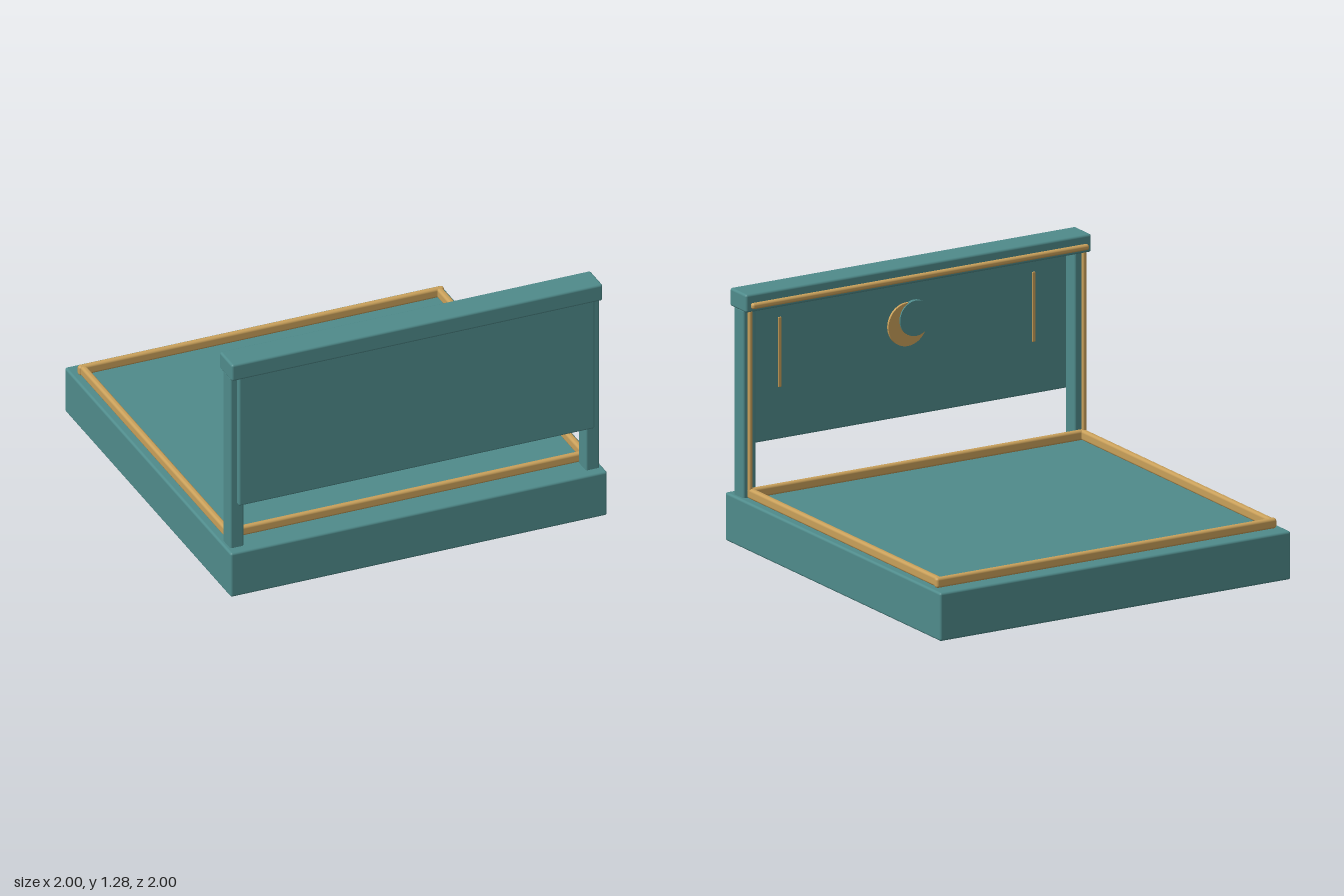
import * as THREE from 'three';
import { RoundedBoxGeometry } from 'three/addons/geometries/RoundedBoxGeometry.js';

export function createModel() {
  const model = new THREE.Group();
  model.name = 'bed';

  const teal = new THREE.MeshStandardMaterial({ color: 0x4f8b8b });
  teal.name = 'teal paint';
  const gold = new THREE.MeshStandardMaterial({ color: 0xc9a05a });
  gold.name = 'gold trim';

  // Rounded box given by its extents along each axis
  function block(name, material, [x0, x1], [y0, y1], [z0, z1], radius) {
    const geometry = new RoundedBoxGeometry(x1 - x0, y1 - y0, z1 - z0, 3, radius);
    const mesh = new THREE.Mesh(geometry, material);
    mesh.position.set((x0 + x1) / 2, (y0 + y1) / 2, (z0 + z1) / 2);
    mesh.name = name;
    model.add(mesh);
  }

  // Round plate facing the mattress side of the headboard
  function disc(name, material, radius, x, y, z0, z1) {
    const geometry = new THREE.CylinderGeometry(radius, radius, z1 - z0, 40);
    geometry.rotateX(Math.PI / 2);
    const mesh = new THREE.Mesh(geometry, material);
    mesh.position.set(x, y, (z0 + z1) / 2);
    mesh.name = name;
    model.add(mesh);
  }

  // Platform
  block('platform', teal, [-1, 1], [0, 0.245], [-1, 1], 0.012);

  // Headboard
  block('headboardPanel', teal, [-0.945, 0.945], [0.485, 1.21], [0.943, 0.975], 0.01);
  block('headboardCap', teal, [-0.985, 0.985], [1.193, 1.285], [0.828, 0.98], 0.012);
  block('capTrim', gold, [-0.96, 0.96], [1.212, 1.242], [0.804, 0.832], 0.012);

  // Rails around the platform top
  block('footRail', gold, [-0.97, 0.97], [0.243, 0.295], [-0.92, -0.888], 0.013);
  block('headRail', gold, [-0.96, 0.96], [0.243, 0.295], [0.832, 0.862], 0.013);

  // Mirrored parts
  for (const [side, s] of [['left', 1], ['right', -1]]) {
    const span = (a, b) => (s > 0 ? [a, b] : [-b, -a]);
    block(side + 'Post', teal, span(0.908, 0.98), [0.235, 1.2], [0.86, 0.95], 0.01);
    block(side + 'PostTrim', gold, span(0.94, 0.962), [0.25, 1.2], [0.833, 0.855], 0.008);
    block(side + 'Rail', gold, span(0.93, 0.962), [0.243, 0.295], [-0.9, 0.862], 0.013);
    block(side + 'Inlay', gold, span(0.715, 0.733), [0.75, 1.105], [0.937, 0.945], 0.003);
  }

  // Crescent: gold disc partly covered by a teal one
  disc('crescentDisc', gold, 0.11, 0, 0.955, 0.93, 0.945);
  disc('crescentCover', teal, 0.09, -0.042, 0.982, 0.922, 0.945);

  return model;
}
